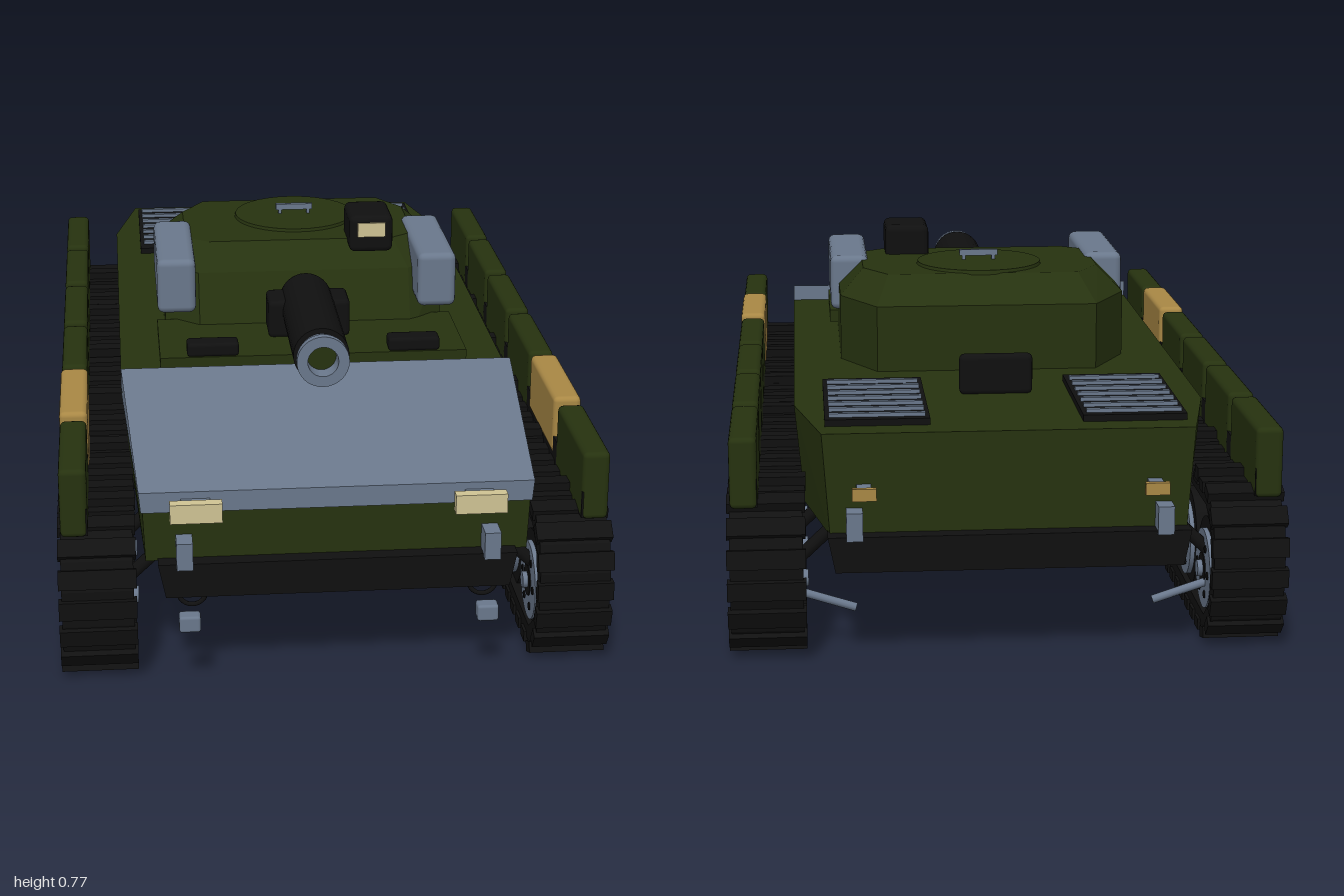
import * as THREE from 'three';
import { mergeGeometries, toCreasedNormals } from 'three/addons/utils/BufferGeometryUtils.js';
import { RoundedBoxGeometry } from 'three/addons/geometries/RoundedBoxGeometry.js';

const mat = (name, color) => {
  const m = new THREE.MeshStandardMaterial({ color });
  m.name = name;
  return m;
};

// Solid through matching rings of points, with flat faces and closed ends
function loft(rings) {
  const pos = [];
  const tri = (a, b, c) => pos.push(...a, ...b, ...c);
  const n = rings[0].length;
  for (let i = 0; i < rings.length - 1; i++) {
    for (let j = 0; j < n; j++) {
      const k = (j + 1) % n;
      const a = rings[i][j], b = rings[i][k], c = rings[i + 1][k], d = rings[i + 1][j];
      tri(a, b, c);
      tri(a, c, d);
    }
  }
  const first = rings[0], last = rings[rings.length - 1];
  for (let j = 1; j < n - 1; j++) {
    tri(first[0], first[j + 1], first[j]);
    tri(last[0], last[j], last[j + 1]);
  }
  const g = new THREE.BufferGeometry();
  g.setAttribute('position', new THREE.Float32BufferAttribute(pos, 3));
  g.computeVertexNormals();
  return g;
}

// Four-cornered section across the hull
const section = (z, bottomW, topW, bottom, top) => [
  [bottomW, bottom, z], [topW, top, z], [-topW, top, z], [-bottomW, bottom, z]];

export function createModel() {
  const model = new THREE.Group();
  model.name = 'trackedVehicle';
  const green = mat('olive green', 0x26320f);
  const black = mat('black', 0x101010);
  const gray = mat('steel gray', 0x6a788c);
  const tan = mat('tan', 0xa98845);
  const cream = mat('lamp cream', 0xd0c494);

  const add = (name, geo, material, x = 0, y = 0, z = 0, parent = model) => {
    const m = new THREE.Mesh(geo, material);
    m.name = name;
    m.position.set(x, y, z);
    parent.add(m);
    return m;
  };
  const box = (w, h, d) => new THREE.BoxGeometry(w, h, d);
  const round = (w, h, d, r) => new RoundedBoxGeometry(w, h, d, 2, r);
  const cylX = (r, w, n = 24) => new THREE.CylinderGeometry(r, r, w, n).rotateZ(Math.PI / 2);
  const cylZ = (r, d, n = 32) => new THREE.CylinderGeometry(r, r, d, n).rotateX(Math.PI / 2);
  const rod = (name, r, from, to, material) => {
    const a = new THREE.Vector3(...from), b = new THREE.Vector3(...to);
    const m = add(name, new THREE.CylinderGeometry(r, r, a.distanceTo(b), 10), material);
    m.position.copy(a).lerp(b, 0.5);
    m.quaternion.setFromUnitVectors(new THREE.Vector3(0, 1, 0), b.sub(a).normalize());
  };

  // Hull, belly and sloped front plate
  add('hull', loft([
    section(-0.95, 0.37, 0.385, 0.28, 0.495),
    section(-0.7, 0.42, 0.44, 0.28, 0.495),
    section(0.47, 0.42, 0.44, 0.28, 0.495),
    section(0.935, 0.4, 0.405, 0.28, 0.4)]), green);
  add('belly', loft([
    section(-0.985, 0.36, 0.375, 0.21, 0.285),
    section(0.97, 0.36, 0.375, 0.21, 0.285)]), black);
  add('frontPlate', loft([
    section(0.465, 0.44, 0.44, 0.475, 0.533),
    section(0.94, 0.408, 0.412, 0.39, 0.435)]), gray);

  // Turret, built from the bottom up
  const outline = (y, w, c, back, backSide, frontSide, front) => [
    [c, y, front], [w, y, frontSide], [w, y, backSide], [c, y, back],
    [-c, y, back], [-w, y, backSide], [-w, y, frontSide], [-c, y, front]];
  add('turret', loft([
    outline(0.49, 0.33, 0.25, -0.395, -0.25, 0.13, 0.2),
    outline(0.645, 0.33, 0.25, -0.395, -0.25, 0.08, 0.13),
    outline(0.7, 0.275, 0.22, -0.29, -0.2, 0.02, 0.06)]), green);
  add('turretBase', box(0.7, 0.03, 0.27), green, 0, 0.518, 0.27);
  add('roofHatch', new THREE.CylinderGeometry(0.145, 0.148, 0.01, 32), green, 0, 0.702, -0.15);
  add('hatchHandle', box(0.09, 0.014, 0.012), gray, 0, 0.724, -0.145);
  for (const x of [-0.035, 0.035]) add('handlePost', box(0.008, 0.02, 0.01), gray, x, 0.712, -0.145);
  add('sight', round(0.104, 0.09, 0.14, 0.015), black, 0.163, 0.725, 0.045);
  add('sightWindow', box(0.066, 0.034, 0.008), cream, 0.163, 0.737, 0.116);

  // Gun
  add('mantlet', round(0.19, 0.09, 0.1, 0.012), black, 0, 0.575, 0.235);
  add('barrelDome', new THREE.SphereGeometry(0.062, 24, 16), black, 0, 0.592, 0.19);
  add('barrel', cylZ(0.062, 0.38), black, 0, 0.592, 0.385);
  const muzzle = [[0.05, 0.56], [0.05, 0.598], [0.058, 0.602], [0.058, 0.62], [0.034, 0.62], [0.032, 0.57]];
  add('muzzle', toCreasedNormals(new THREE.LatheGeometry(
    muzzle.map(p => new THREE.Vector2(...p)), 32).rotateX(Math.PI / 2), 0.5), gray, 0, 0.592, 0);
  add('bore', new THREE.CircleGeometry(0.034, 24), green, 0, 0.592, 0.58);

  // Track belt with cross bars
  const half = [[0.89, 0.022], [0.945, 0.075], [0.968, 0.15], [0.97, 0.23], [0.95, 0.29], [0.89, 0.335]];
  const loop = [...half, ...half.map(([z, y]) => [-z, y]).reverse()];
  const points = k => loop.map(([z, y]) => new THREE.Vector2(z * (1 - 0.035 * k), 0.18 + (y - 0.18) * (1 - 0.22 * k)));
  const beltShape = new THREE.Shape(points(0));
  beltShape.closePath();
  beltShape.holes.push(new THREE.Path(points(1)));
  const beltGeo = new THREE.ExtrudeGeometry(beltShape, { depth: 0.15, bevelEnabled: false })
    .translate(0, 0, -0.075).rotateY(-Math.PI / 2);
  const bars = [], count = 66, path = beltShape.getSpacedPoints(count);
  for (let i = 0; i < count; i++) {
    const p = path[i], q = path[i + 1], o = path[(i + count - 1) % count];
    const angle = Math.atan2(q.y - o.y, q.x - o.x);
    bars.push(box(0.162, 0.024, 0.04).rotateX(-angle).translate(0, p.y, p.x));
  }
  const barGeo = mergeGeometries(bars);

  // Small wheel bolts on both faces
  const bolts = [];
  for (let i = 0; i < 6; i++) {
    const a = i * Math.PI / 3;
    bolts.push(cylX(0.009, 0.15, 8).translate(0, 0.058 * Math.sin(a), 0.058 * Math.cos(a)));
  }
  const boltGeo = mergeGeometries(bolts);
  const tyreGeo = cylX(0.112, 0.125, 32), discGeo = cylX(0.086, 0.145, 32), hubGeo = cylX(0.035, 0.15);

  for (const s of [1, -1]) {
    add('trackBelt', beltGeo, black, s * 0.501);
    add('trackBars', barGeo, black, s * 0.501);

    for (let i = 0; i < 8; i++) {
      const z = 0.823 - i * 0.2354;
      const wheel = new THREE.Group();
      wheel.name = 'roadWheel';
      wheel.position.set(s * 0.501, 0.15, z);
      model.add(wheel);
      add('tyre', tyreGeo, black, 0, 0, 0, wheel);
      add('disc', discGeo, gray, 0, 0, 0, wheel);
      add('hub', hubGeo, black, 0, 0, 0, wheel);
      add('bolts', boltGeo, black, 0, 0, 0, wheel);
      rod('suspensionArm', 0.014, [s * 0.36, 0.265, z], [s * 0.44, 0.19, z], black);
      rod('axleStub', 0.018, [s * 0.415, 0.15, z], [s * 0.45, 0.15, z], gray);
    }

    // Side skirts, the second panel in tan
    for (let i = 0; i < 6; i++) {
      const isTan = i === 1;
      add(isTan ? 'tanSkirtPanel' : 'skirtPanel', round(isTan ? 0.062 : 0.058, isTan ? 0.135 : 0.152, 0.286, 0.012),
        isTan ? tan : green, s * 0.546, isTan ? 0.42 : 0.407, 0.78 - i * 0.3125);
      add('skirtBracket', box(0.12, 0.03, 0.04), black, s * 0.478, 0.35, 0.78 - i * 0.3125);
    }
    add('skirtRail', box(0.045, 0.06, 1.84), black, s * 0.54, 0.365, 0);

    // Turret pods and front hatches
    add('turretPod', round(0.09, 0.13, 0.335, 0.016), gray, s * 0.305, 0.645, 0.068);
    add('frontHatch', round(0.118, 0.032, 0.05, 0.008), black, s * 0.23, 0.548, 0.378);

    // Engine grilles
    add('grille', box(0.218, 0.014, 0.372), black, s * 0.268, 0.502, -0.703);
    for (let i = 0; i < 7; i++) {
      add('grilleSlat', box(0.2, 0.01, 0.012), gray, s * 0.268, 0.512, -0.863 + i * 0.05);
    }

    // Lamps, tow brackets and hooks
    add('headlight', box(0.108, 0.042, 0.025), cream, s * 0.295, 0.402, 0.968);
    add('headlightMount', box(0.06, 0.035, 0.03), gray, s * 0.295, 0.402, 0.945);
    add('rearLamp', box(0.05, 0.026, 0.012), tan, s * 0.3, 0.378, -0.993);
    add('rearLampMount', box(0.03, 0.02, 0.045), gray, s * 0.3, 0.378, -0.966);
    for (const z of [0.958, -0.965]) add('towBracket', box(0.034, 0.06, 0.055), gray, s * 0.32, 0.308, z);
    add('towHook', new THREE.TorusGeometry(0.029, 0.005, 8, 24), black, s * 0.305, 0.216, 0.955);
    add('towBlock', round(0.045, 0.036, 0.035, 0.006), gray, s * 0.312, 0.16, 0.982);

    // Fittings under the belly
    add('bellyPost', new THREE.CylinderGeometry(0.013, 0.013, 0.075, 12), gray, s * 0.235, 0.176, 0.12);
    rod('rearPipe', 0.009, [s * 0.43, 0.127, -0.85], [s * 0.316, 0.09, -0.85], gray);
  }

  add('deckBox', round(0.16, 0.09, 0.028, 0.012), black, 0, 0.538, -0.618);
  return model;
}
